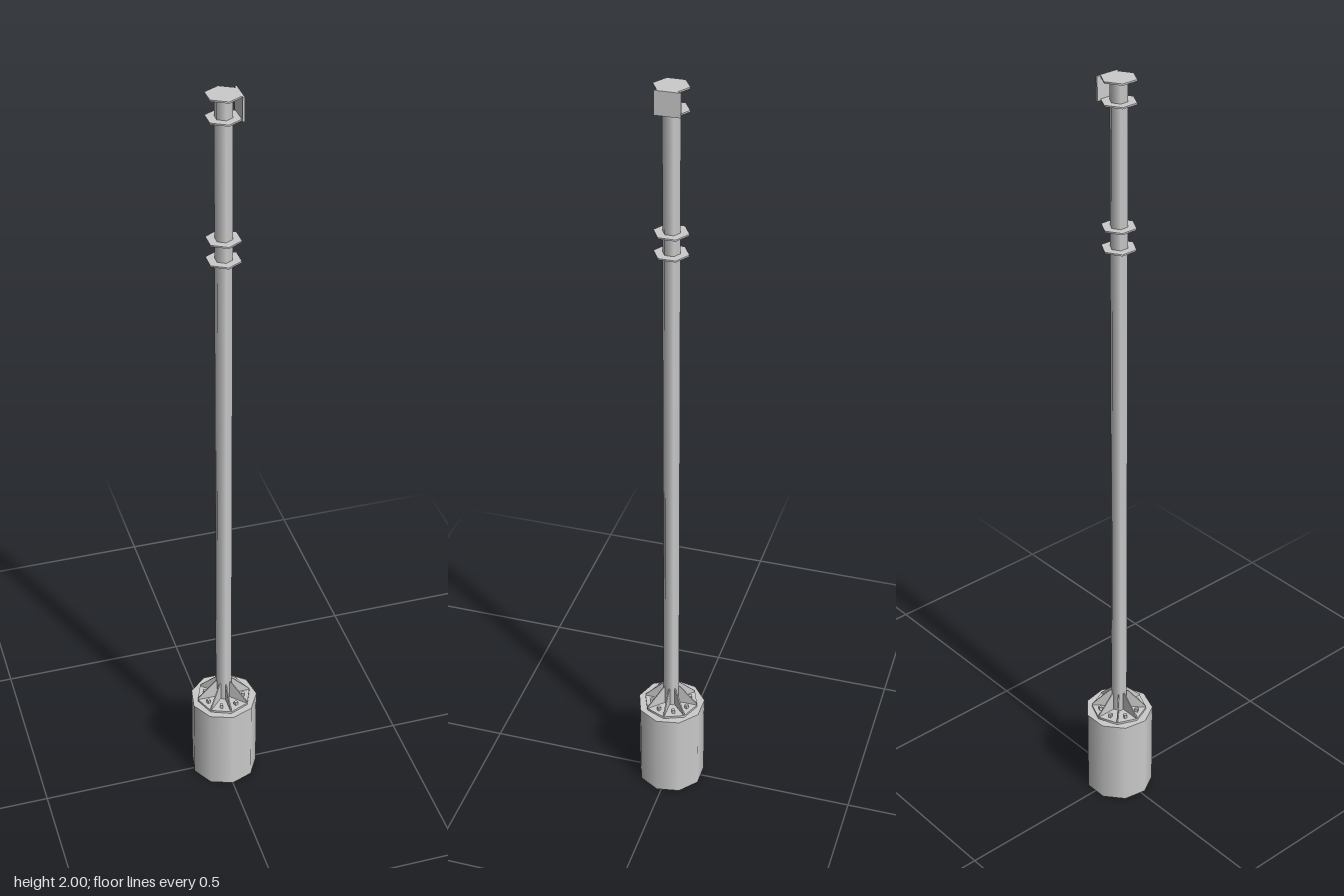
import * as THREE from 'three';

export function createModel() {
  const model = new THREE.Group();
  const mat = new THREE.MeshStandardMaterial({ color: 0xcccccc });
  // everything is built around the mast axis, slightly behind the origin
  const axis = new THREE.Group();
  axis.name = 'mast';
  axis.position.z = -0.003;
  model.add(axis);

  const add = (name, geometry, x = 0, y = 0, z = 0, parent = axis) => {
    const mesh = new THREE.Mesh(geometry, mat);
    mesh.name = name;
    mesh.position.set(x, y, z);
    parent.add(mesh);
    return mesh;
  };
  const prism = (name, radius, y0, y1, sides) =>
    add(name, new THREE.CylinderGeometry(radius, radius, y1 - y0, sides), 0, (y0 + y1) / 2);

  // foundation, base plate and pole
  prism('foundation', 0.0892, 0, 0.243, 9);
  prism('basePlate', 0.0725, 0.243, 0.249, 8);
  prism('pole', 0.0215, 0.249, 1.995, 6);

  // thin flanges, in two pairs
  for (const y of [1.588, 1.641, 1.942, 1.996]) prism('flange', 0.043, y, y + 0.004, 6);

  // side panel between the top flanges
  add('sidePanel', new THREE.BoxGeometry(0.005, 0.058, 0.062), 0.037, 1.971, -0.002);

  // gussets around the pole foot, with anchor bolts between them
  const profile = new THREE.Shape([
    new THREE.Vector2(0.015, 0.249),
    new THREE.Vector2(0.071, 0.249),
    new THREE.Vector2(0.071, 0.253),
    new THREE.Vector2(0.024, 0.302),
    new THREE.Vector2(0.015, 0.302),
  ]);
  const thickness = 0.003;
  const gussetGeo = new THREE.ExtrudeGeometry(profile, { depth: thickness, bevelEnabled: false });
  gussetGeo.translate(0, 0, -thickness / 2);
  const boltGeo = new THREE.BoxGeometry(0.008, 0.01, 0.008);
  for (let i = 0; i < 8; i++) {
    const a = (i * Math.PI) / 4;
    add('gusset', gussetGeo).rotation.y = a;
    const b = a + Math.PI / 8;
    add('anchorBolt', boltGeo, 0.052 * Math.cos(b), 0.254, -0.052 * Math.sin(b)).rotation.y = b;
  }
  return model;
}
